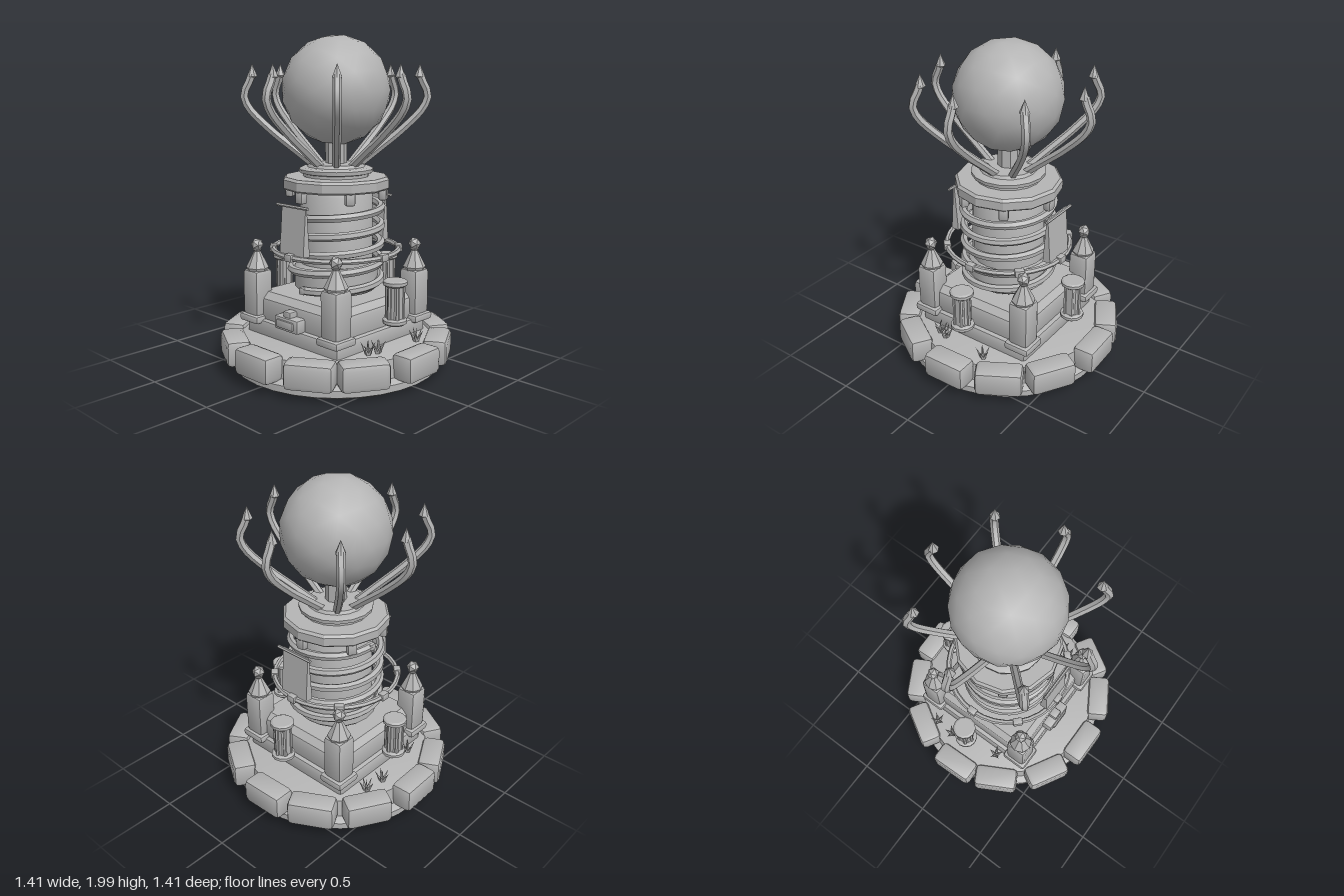
import * as THREE from 'three';
import { toCreasedNormals } from 'three/addons/utils/BufferGeometryUtils.js';
import { RoundedBoxGeometry } from 'three/addons/geometries/RoundedBoxGeometry.js';

const stone = new THREE.MeshStandardMaterial({ color: 0xb4b4b4 });
stone.name = 'stone grey';

export function createModel() {
  const root = new THREE.Group();
  root.name = 'orbTower';

  const add = (name, geo, x = 0, y = 0, z = 0, parent = root, crease = 0.6) => {
    const m = new THREE.Mesh(toCreasedNormals(geo, crease), stone);
    m.name = name;
    m.position.set(x, y, z);
    parent.add(m);
    return m;
  };
  const lathe = (pts, sides) =>
    new THREE.LatheGeometry(pts.map(p => new THREE.Vector2(p[0], p[1])), sides);
  const box = (w, h, d, r) => new RoundedBoxGeometry(w, h, d, 1, r);
  // Group rotated about the y axis; angle 0 faces the front
  const spoke = (name, angle) => {
    const g = new THREE.Group();
    g.name = name;
    g.rotation.y = angle;
    root.add(g);
    return g;
  };

  // Round base and ground
  add('baseDisc', lathe([[0, 0], [0.61, 0], [0.645, 0.02], [0.645, 0.06], [0.63, 0.07],
    [0.6, 0.08], [0.59, 0.19], [0.56, 0.2], [0, 0.2]], 32));

  // Ring of rim stones
  for (let i = 0; i < 12; i++) {
    const g = spoke('rimStone', i * Math.PI / 6 + 0.03 * Math.sin(i * 2.3));
    add('stoneBlock', box(0.285, 0.16, 0.145, 0.03), 0, 0.143, 0.63, g);
  }

  // Square plinth in two steps
  add('lowerPlinth', box(0.78, 0.11, 0.78, 0.02), 0, 0.235, 0);
  add('upperPlinth', box(0.72, 0.15, 0.72, 0.02), 0, 0.345, 0);
  const cap = new THREE.CylinderGeometry(0.45, 0.5, 0.035, 4);
  cap.rotateY(Math.PI / 4);
  add('plinthTop', cap, 0, 0.435, 0);

  // Lock box on the front of the plinth
  add('lockBox', box(0.2, 0.085, 0.09, 0.015), 0, 0.325, 0.38);
  add('lockPanel', box(0.14, 0.05, 0.02, 0.008), 0, 0.325, 0.425);
  add('lockTop', box(0.065, 0.04, 0.06, 0.01), 0, 0.382, 0.385);

  // Corner turrets
  for (const sx of [-1, 1]) for (const sz of [-1, 1]) {
    const t = new THREE.Group();
    t.name = 'cornerTurret';
    t.position.set(sx * 0.337, 0, sz * 0.345);
    root.add(t);
    add('turretFoot', box(0.168, 0.05, 0.168, 0.018), 0, 0.288, 0, t);
    add('turretBody', box(0.135, 0.29, 0.135, 0.025), 0, 0.445, 0, t);
    add('turretRoof', lathe([[0, 0.58], [0.062, 0.58], [0.07, 0.6], [0.02, 0.7], [0.028, 0.712], [0, 0.72]], 8), 0, 0, 0, t);
    add('turretFinial', new THREE.IcosahedronGeometry(0.04, 0), 0, 0.742, 0, t);
  }

  // Short fluted pillars on the back and both sides
  for (const a of [Math.PI / 2, Math.PI, -Math.PI / 2]) {
    const p = new THREE.Group();
    p.name = 'sidePillar';
    p.position.set(Math.sin(a) * 0.475, 0, Math.cos(a) * 0.475);
    root.add(p);
    add('pillarShaft', new THREE.CylinderGeometry(0.048, 0.048, 0.24, 10), 0, 0.47, 0, p, 0.3);
    for (let i = 0; i < 6; i++) {
      const r = i * Math.PI / 3;
      add('pillarRib', new THREE.CylinderGeometry(0.012, 0.012, 0.22, 6),
        Math.sin(r) * 0.047, 0.47, Math.cos(r) * 0.047, p);
    }
    for (const y of [0.36, 0.588])
      add('pillarCap', lathe([[0, -0.018], [0.06, -0.018], [0.072, -0.008], [0.072, 0.01], [0.06, 0.018], [0, 0.018]], 12), 0, y, 0, p);
  }

  // Central column
  add('columnStub', new THREE.CylinderGeometry(0.07, 0.07, 0.06, 10), 0, 0.465, 0);
  add('column', lathe([[0, 0.475], [0.24, 0.475], [0.255, 0.49], [0.255, 0.61], [0.225, 0.64],
    [0.22, 1.06], [0.205, 1.09], [0, 1.09]], 20));

  // Coil wound around the column
  const coilPts = [];
  for (let i = 0; i <= 76; i++) {
    const a = i / 16 * Math.PI * 2;
    coilPts.push(new THREE.Vector3(Math.sin(a) * 0.275, 0.5 + i / 76 * 0.52, Math.cos(a) * 0.275));
  }
  add('coil', new THREE.TubeGeometry(new THREE.CatmullRomCurve3(coilPts), 150, 0.025, 6));
  for (const p of [coilPts[0], coilPts[76]])
    add('coilEnd', box(0.045, 0.045, 0.045, 0.01), p.x, p.y, p.z);

  // Hoop with clasps
  const hoop = new THREE.TorusGeometry(0.382, 0.017, 6, 32);
  hoop.rotateX(Math.PI / 2);
  add('hoop', hoop, 0, 0.72, 0);
  for (let i = 0; i < 8; i++)
    add('hoopClasp', box(0.06, 0.045, 0.045, 0.008), 0, 0.72, 0.382, spoke('claspSpoke', i * Math.PI / 4));

  // Banners on the front and back, swelling towards the hem
  for (const a of [0, Math.PI]) {
    const g = spoke('banner', a);
    const cloth = new THREE.BoxGeometry(0.2, 0.29, 1, 1, 4, 1);
    const p = cloth.attributes.position;
    for (let i = 0; i < p.count; i++)
      p.setZ(i, p.getZ(i) * (0.03 - p.getY(i) * 0.15));
    add('bannerCloth', cloth, 0, 0.875, 0.345, g);
    const rod = new THREE.CylinderGeometry(0.01, 0.01, 0.26, 6);
    rod.rotateZ(Math.PI / 2);
    add('bannerRod', rod, 0, 1.018, 0.36, g);
  }

  // Collar with six brackets
  add('collar', lathe([[0, 1.09], [0.315, 1.09], [0.325, 1.1], [0.325, 1.15], [0.31, 1.165], [0, 1.165]], 12), 0, 0, 0, root, 0.3);
  for (let i = 0; i < 6; i++)
    add('collarBracket', box(0.058, 0.085, 0.05, 0.012), 0, 1.068, 0.29, spoke('bracketSpoke', i * Math.PI / 3));

  // Stepped crown and neck
  add('crown', lathe([[0, 1.16], [0.2, 1.16], [0.2, 1.182], [0.222, 1.188], [0.225, 1.21],
    [0.205, 1.22], [0.175, 1.222], [0.165, 1.24], [0, 1.245]], 16));
  add('neck', new THREE.CylinderGeometry(0.065, 0.065, 0.17, 8), 0, 1.31, 0, root, 0.3);

  // Orb
  add('orb', new THREE.IcosahedronGeometry(0.325, 2), 0, 1.675, 0, root, 1.2);

  // Eight curved claws with pointed tips
  const clawPath = new THREE.CatmullRomCurve3([[0.12, 1.22], [0.25, 1.325], [0.39, 1.44], [0.52, 1.575],
    [0.545, 1.65], [0.515, 1.72], [0.497, 1.765]].map(p => new THREE.Vector3(0, p[1], p[0])));
  for (let i = 0; i < 8; i++) {
    const g = spoke('claw', i * Math.PI / 4);
    add('clawArm', new THREE.TubeGeometry(clawPath, 16, 0.025, 6), 0, 0, 0, g);
    add('clawTip', lathe([[0, 1.735], [0.031, 1.755], [0, 1.83]], 6), 0, 0, 0.495, g, 0.3);
  }

  // Grass tufts on the ground
  const tufts = [[-0.475, -0.25], [-0.49, -0.12], [-0.43, 0.21], [0.5, -0.17], [0.45, 0.2], [0.47, 0.14]];
  tufts.forEach(([x, z], k) => {
    const t = new THREE.Group();
    t.name = 'grassTuft';
    t.position.set(x, 0.19, z);
    root.add(t);
    for (let i = 0; i < 6; i++) {
      const blade = new THREE.ConeGeometry(0.014, 0.1, 4);
      blade.translate(0, 0.045, 0);
      const m = add('grassBlade', blade, 0, 0, 0, t);
      m.rotation.set(i ? 0.5 : 0, i * 1.25 + k, 0, 'YXZ');
    }
  });

  return root;
}
